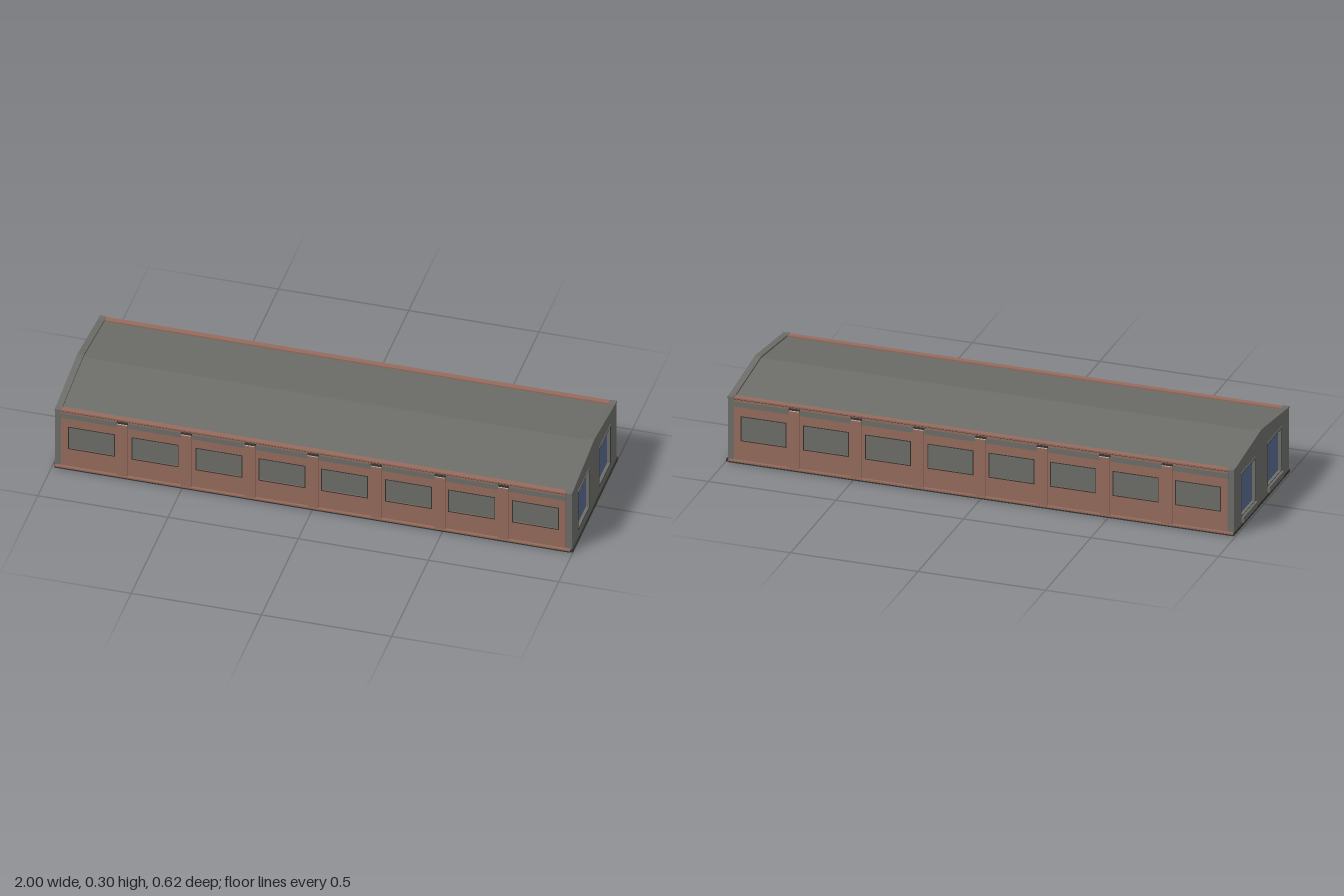
import * as THREE from 'three';

const mat = (name, color, side = THREE.FrontSide) => {
  const m = new THREE.MeshStandardMaterial({ color, side });
  m.name = name;
  return m;
};

export function createModel() {
  const root = new THREE.Group();
  root.name = 'longHall';
  const gray = mat('concreteGray', 0x6c6c68, THREE.DoubleSide);
  const red = mat('brickRed', 0x966b5d);
  const blue = mat('doorBlue', 0x56668a);
  const dark = mat('darkTrim', 0x34342f);

  const add = (parent, name, geo, material) => {
    const m = new THREE.Mesh(geo, material);
    m.name = name;
    parent.add(m);
    return m;
  };
  // Box given by its lower and upper limits on each axis
  const box = (parent, name, material, [x0, x1], [y0, y1], [z0, z1]) => {
    const m = add(parent, name, new THREE.BoxGeometry(x1 - x0, y1 - y0, z1 - z0), material);
    m.position.set((x0 + x1) / 2, (y0 + y1) / 2, (z0 + z1) / 2);
    return m;
  };
  const polygon = (pts) => new THREE.Shape(pts.map(([x, y]) => new THREE.Vector2(x, y)));
  const rectHole = (shape, x0, x1, y0, y1) => {
    const h = new THREE.Path();
    h.moveTo(x0, y0).lineTo(x0, y1).lineTo(x1, y1).lineTo(x1, y0).closePath();
    shape.holes.push(h);
  };
  const extrude = (shape, depth) => new THREE.ExtrudeGeometry(shape, { depth, bevelEnabled: false });
  // Thin rectangular outline in the XY plane
  const frame = (x0, x1, y0, y1, t, depth) => {
    const s = polygon([[x0, y0], [x1, y0], [x1, y1], [x0, y1]]);
    rectHole(s, x0 + t, x1 - t, y0 + t, y1 - t);
    return extrude(s, depth);
  };

  // Long walls, built facing +z and turned round for the back
  const L = 0.97, winY = [0.09, 0.187];
  const windows = [-0.85, -0.605, -0.36, -0.118, 0.122, 0.367, 0.61, 0.855];
  const pilasters = [-0.73, -0.485, -0.24, 0.002, 0.245, 0.49, 0.733];
  for (const side of [1, -1]) {
    const wall = new THREE.Group();
    wall.name = side > 0 ? 'frontWall' : 'backWall';
    if (side < 0) wall.rotation.y = Math.PI;
    root.add(wall);
    const xs = (list) => list.map((x) => x * side);

    const panel = polygon([[-L, 0], [L, 0], [L, 0.258], [-L, 0.258]]);
    for (const x of xs(windows)) rectHole(panel, x - 0.088, x + 0.088, ...winY);
    add(wall, 'brickWall', extrude(panel, 0.013), red).position.z = 0.289;

    for (const x of xs(windows)) {
      box(wall, 'windowPane', gray, [x - 0.088, x + 0.088], winY, [0.293, 0.297]);
      add(wall, 'windowFrame', frame(x - 0.09, x + 0.09, winY[0] - 0.002, winY[1] + 0.002, 0.003, 0.002), dark)
        .position.z = 0.301;
    }
    // Grey lintel band above each bay
    const posts = xs(pilasters).sort((a, b) => a - b);
    const edges = [-L, ...posts, L];
    for (let i = 0; i < edges.length - 1; i++) {
      box(wall, 'bayBand', gray, [edges[i], edges[i + 1]], [0.225, 0.246], [0.3, 0.303]);
    }
    // Pilasters with sloped heads, showing on the inner face too
    for (const x of posts) {
      const profile = polygon([[-0.286, 0], [-0.286, 0.25], [-0.302, 0.25], [-0.31, 0.242], [-0.31, 0]]);
      const g = extrude(profile, 0.04);
      g.rotateY(Math.PI / 2);
      add(wall, 'pilaster', g, red).position.x = x - 0.02;
      box(wall, 'pilasterCap', dark, [x - 0.021, x + 0.021], [0.245, 0.251], [0.3, 0.309]);
    }
    box(wall, 'coping', red, [-L, L], [0.257, 0.263], [0.284, 0.306]);
    box(wall, 'copingShadowLine', dark, [-L, L], [0.255, 0.258], [0.3, 0.305]);
    box(wall, 'plinth', red, [-0.99, 0.99], [0.005, 0.011], [0.29, 0.312]);
    box(wall, 'plinthFoot', dark, [-0.99, 0.99], [0, 0.005], [0.29, 0.312]);
  }

  // Gable ends with two doorways each
  for (const side of [1, -1]) {
    const end = new THREE.Group();
    end.name = side > 0 ? 'leftGable' : 'rightGable';
    end.rotation.y = side * Math.PI / 2;
    root.add(end);
    const face = side > 0 ? 0.995 : 0.99;
    const shape = polygon([[-0.302, 0], [0.302, 0], [0.302, 0.256], [0.308, 0.257], [0.308, 0.264],
      [0.285, 0.264], [0, 0.3], [-0.285, 0.264], [-0.308, 0.264], [-0.308, 0.257], [-0.302, 0.256]]);
    for (const c of [-0.144, 0.144]) rectHole(shape, c - 0.076, c + 0.076, 0.04, 0.212);
    add(end, 'gableWall', extrude(shape, 0.024), gray).position.z = face - 0.024;

    for (const c of [-0.144, 0.144]) {
      const w = [c - 0.076, c + 0.076];
      box(end, 'door', blue, w, [0.04, 0.212], [face - 0.018, face - 0.013]);
      add(end, 'doorFrame', frame(w[0] - 0.001, w[1] + 0.001, 0.039, 0.212, 0.002, 0.002), dark)
        .position.z = face - 0.001;
      box(end, 'lintel', gray, w, [0.212, 0.22], [face - 0.01, face + 0.002]);
      box(end, 'lintelShadowLine', dark, w, [0.209, 0.213], [face - 0.01, face + 0.001]);
      if (side < 0) box(end, 'doorSill', gray, w, [0.017, 0.04], [face - 0.01, 1]);
    }
    box(end, 'baseStrip', dark, [-0.308, 0.308], [0, 0.01], [face - 0.02, side > 0 ? 1 : face + 0.003]);
  }

  // Shallow pitched roof, set just below the gable tops
  const roof = extrude(polygon([[-0.29, 0.25], [0, 0.285], [0.29, 0.25], [0.29, 0.256], [0, 0.292], [-0.29, 0.256]]), 1.95);
  roof.rotateY(Math.PI / 2);
  add(root, 'roof', roof, gray).position.x = -0.975;

  return root;
}
